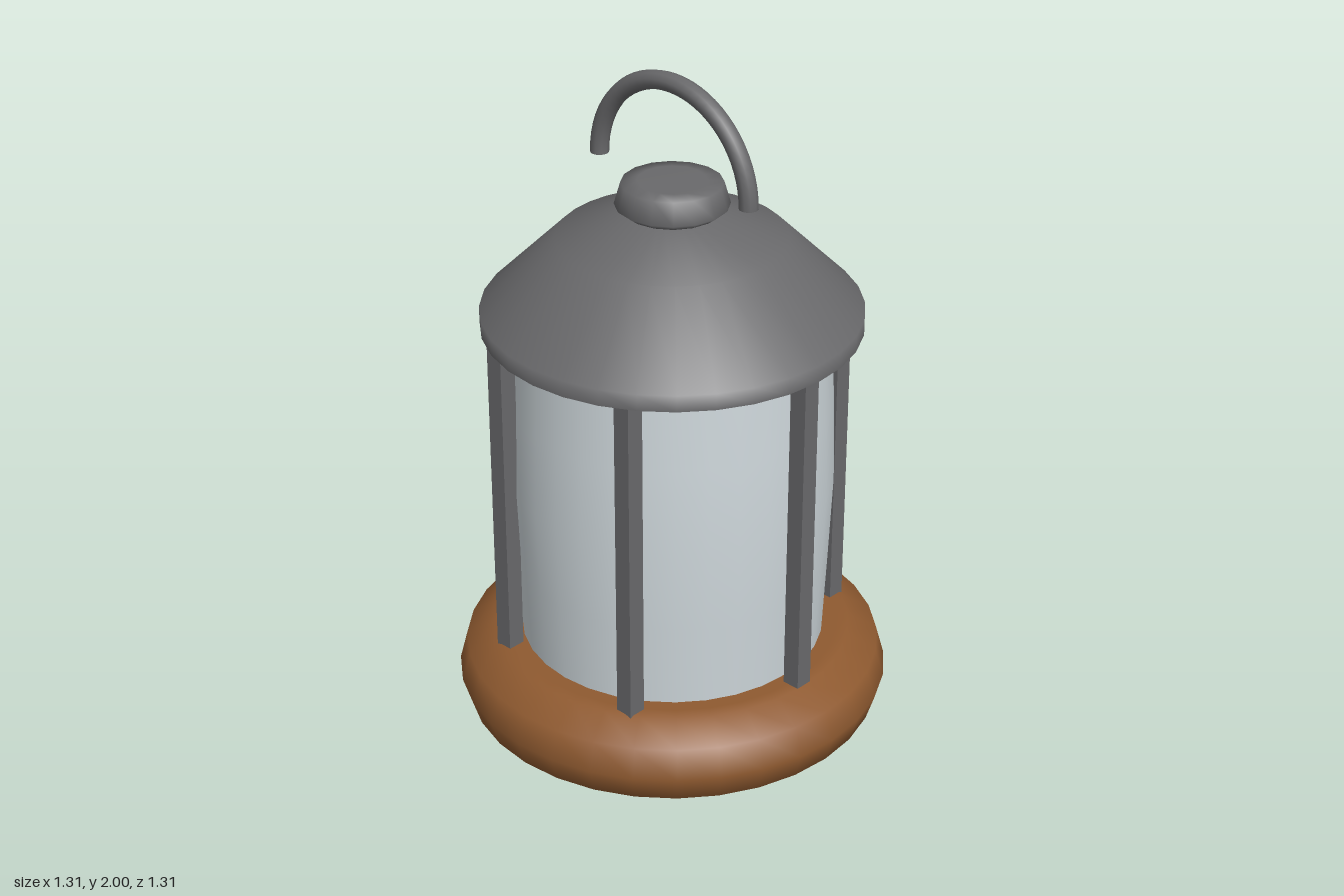
import * as THREE from 'three';

const metal = new THREE.MeshStandardMaterial({ color: 0x69696b });
metal.name = 'dark grey metal';
const wood = new THREE.MeshStandardMaterial({ color: 0x8f5a30 });
wood.name = 'brown wood';
const glass = new THREE.MeshStandardMaterial({ color: 0xced7db });
glass.name = 'pale glass';

export function createModel() {
  const group = new THREE.Group();
  group.name = 'lantern';

  const add = (name, geometry, material, x = 0, y = 0, z = 0) => {
    const mesh = new THREE.Mesh(geometry, material);
    mesh.name = name;
    mesh.position.set(x, y, z);
    group.add(mesh);
    return mesh;
  };
  // Profiles run from bottom to top; a repeated point makes a sharp edge
  const lathe = (points, sides) =>
    new THREE.LatheGeometry(points.map(([r, y]) => new THREE.Vector2(r, y)), sides);

  // Rounded wooden base
  add('base', lathe([
    [0, 0], [0.6, 0], [0.63, 0], [0.655, 0.08], [0.63, 0.17], [0.54, 0.22], [0.5, 0.22], [0, 0.22],
  ], 32), wood);

  // Slightly bulging glass cylinder
  add('glassCylinder', lathe([
    [0.46, 0.21], [0.472, 0.47], [0.483, 0.74], [0.475, 1.0], [0.462, 1.26],
  ], 32), glass);

  // Six square posts, all aligned to the axes
  for (let i = 0; i < 6; i++) {
    const a = (i * Math.PI) / 3;
    add('post' + (i + 1), new THREE.BoxGeometry(0.055, 1.06, 0.055), metal,
      0.51 * Math.cos(a), 0.73, 0.51 * Math.sin(a));
  }

  // Roof with a flat underside and a short rim
  add('roof', lathe([
    [0, 1.24], [0.557, 1.24], [0.557, 1.24], [0.557, 1.29], [0.335, 1.51], [0.12, 1.59], [0, 1.6],
  ], 32), metal);

  // Cap on the roof
  add('cap', lathe([
    [0, 1.59], [0.14, 1.59], [0.166, 1.61], [0.147, 1.675], [0.1, 1.68], [0, 1.68],
  ], 16), metal);

  // Half-ring handle with closed ends
  const radius = 0.29, tube = 0.028, handleY = 1.682;
  add('handle', new THREE.TorusGeometry(radius, tube, 10, 32, Math.PI), metal, 0, handleY, 0);
  for (const side of [1, -1]) {
    const end = add(side > 0 ? 'leftHandleEnd' : 'rightHandleEnd',
      new THREE.CircleGeometry(tube, 10), metal, side * radius, handleY, 0);
    end.rotation.x = Math.PI / 2;
  }

  return group;
}
